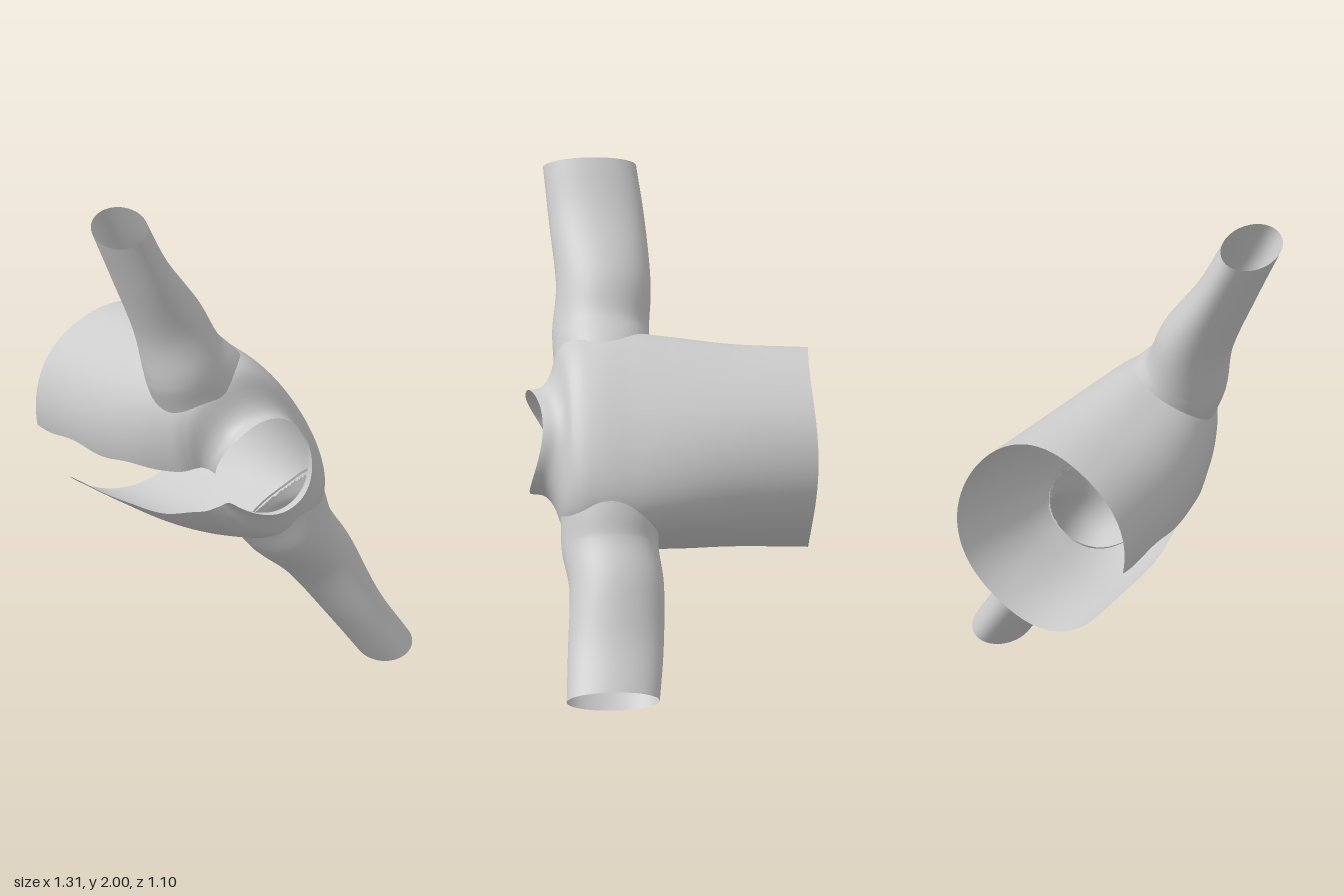
import * as THREE from 'three';

const { lerp, smoothstep } = THREE.MathUtils;

// Smooth interpolation through rows of [time, ...values]
function track(rows) {
  const stride = rows[0].length - 1;
  const it = new THREE.CubicInterpolant(rows.map(r => r[0]), rows.flatMap(r => r.slice(1)), stride);
  return t => Array.from(it.evaluate(t));
}

// Body sections: z, half width, depth centre, front depth, back depth, half gap, back roundness
const body = track([
  [-0.54, 0.38, 0.165, 0.37, 0.38, 0.145, 0.9],
  [-0.25, 0.385, 0.14, 0.365, 0.355, 0.14, 0.8],
  [0.0, 0.405, 0.115, 0.35, 0.325, 0.135, 0.65],
  [0.15, 0.415, 0.09, 0.33, 0.295, 0.125, 0.58],
  [0.3, 0.41, 0.07, 0.28, 0.27, 0.115, 0.58],
  [0.39, 0.39, 0.065, 0.24, 0.25, 0.1, 0.65],
  [0.43, 0.345, 0.065, 0.225, 0.235, 0.095, 0.75],
  [0.455, 0.265, 0.067, 0.21, 0.215, 0.09, 0.85],
  [0.49, 0.215, 0.07, 0.2, 0.2, 0.085, 0.95],
  [0.55, 0.2, 0.07, 0.195, 0.19, 0.085, 1],
]);

// Sleeve sections: step, distance out, depth centre, half depth, z centre, half height
const sleeve = track([
  [0, 0.34, 0.055, 0.19, 0.25, 0.187],
  [1, 0.46, 0.06, 0.162, 0.25, 0.187],
  [2, 0.635, 0.025, 0.135, 0.235, 0.183],
  [3, 0.89, 0.018, 0.103, 0.25, 0.185],
  [4, 1.11, 0, 0.095, 0.27, 0.18],
]);

// Half width of the body at a given depth and height
function bodyWidth(y, z) {
  const [a, c, front, back, , power] = body(z);
  const k = Math.min(1, Math.abs(y - c) / (y > c ? front : back));
  return a * Math.sqrt(1 - Math.pow(k, 2 / (y > c ? 0.9 : power)));
}

// Surface from a grid of points; optionally closed around, flipped or with holes
function surface(rows, cols, point, { closed = false, flip = false, skip = () => false } = {}) {
  const n = closed ? cols : cols + 1;
  const pos = [], index = [];
  for (let i = 0; i <= rows; i++)
    for (let j = 0; j < n; j++) pos.push(...point(i / rows, j / cols));
  for (let i = 0; i < rows; i++)
    for (let j = 0; j < cols; j++) {
      if (skip(...point((i + 0.5) / rows, (j + 0.5) / cols))) continue;
      const k = (j + 1) % n;
      const a = i * n + j, b = i * n + k, c = a + n, d = b + n;
      if (flip) index.push(a, b, c, b, d, c);
      else index.push(a, c, b, b, c, d);
    }
  const geo = new THREE.BufferGeometry();
  geo.setAttribute('position', new THREE.Float32BufferAttribute(pos, 3));
  geo.setIndex(index);
  geo.computeVertexNormals();
  return geo;
}

// Torso wrapped from one front edge round the back to the other
function bodyPoint(v, h) {
  const z = lerp(-0.54, 0.55, v);
  const [a, c, front, back, gap, power] = body(z);
  const open = Math.asin((gap + 0.008 * Math.sin(17 * z)) / a);
  const angle = lerp(open, 2 * Math.PI - open, h);
  const co = Math.cos(angle);
  const depth = co > 0 ? front * Math.pow(co, 0.9) : -back * Math.pow(-co, power);
  // neckline dips at front and back, hem waves slightly
  const neck = smoothstep(z, 0.3, 0.52);
  const hem = 1 - smoothstep(z, -0.54, -0.3);
  const dip = neck * (co > 0 ? 0.11 * co * co : 0.045 * co * co);
  return [a * Math.sin(angle), c + depth, z - dip + hem * 0.01 * Math.sin(3 * angle)];
}

// Armholes where the sleeves join
function inArmhole(x, y, z) {
  return Math.abs(x) > 0.24 && Math.hypot((y - 0.055) / 0.18, (z - 0.25) / 0.174) < 1;
}

// Sleeve starting on the body surface and running out to the cuff
function sleevePoint(side) {
  return (v, h) => {
    const t = v * 4, angle = h * 2 * Math.PI;
    const [out, c, depth, cz, height] = sleeve(t);
    const y = c + depth * Math.cos(angle);
    const z = cz + height * Math.sin(angle);
    const x = t < 1 ? lerp(bodyWidth(y, z) - 0.008, 0.46, t) : out;
    return [side * x, y, z];
  };
}

export function createModel() {
  const material = new THREE.MeshStandardMaterial({ color: 0xcccccc, side: THREE.DoubleSide });
  const garment = new THREE.Group();
  garment.name = 'openJacket';
  const add = (name, geo) => {
    const mesh = new THREE.Mesh(geo, material);
    mesh.name = name;
    garment.add(mesh);
  };

  add('jacketBody', surface(110, 120, bodyPoint, { skip: inArmhole }));
  for (const side of [1, -1])
    add(side > 0 ? 'upperSleeve' : 'lowerSleeve',
      surface(40, 48, sleevePoint(side), { closed: true, flip: side > 0 }));

  // lean the sleeve line over diagonally
  garment.rotation.z = Math.atan2(0.856, -0.518);
  garment.position.y = 1;

  const model = new THREE.Group();
  model.name = 'jacket';
  model.add(garment);
  return model;
}
